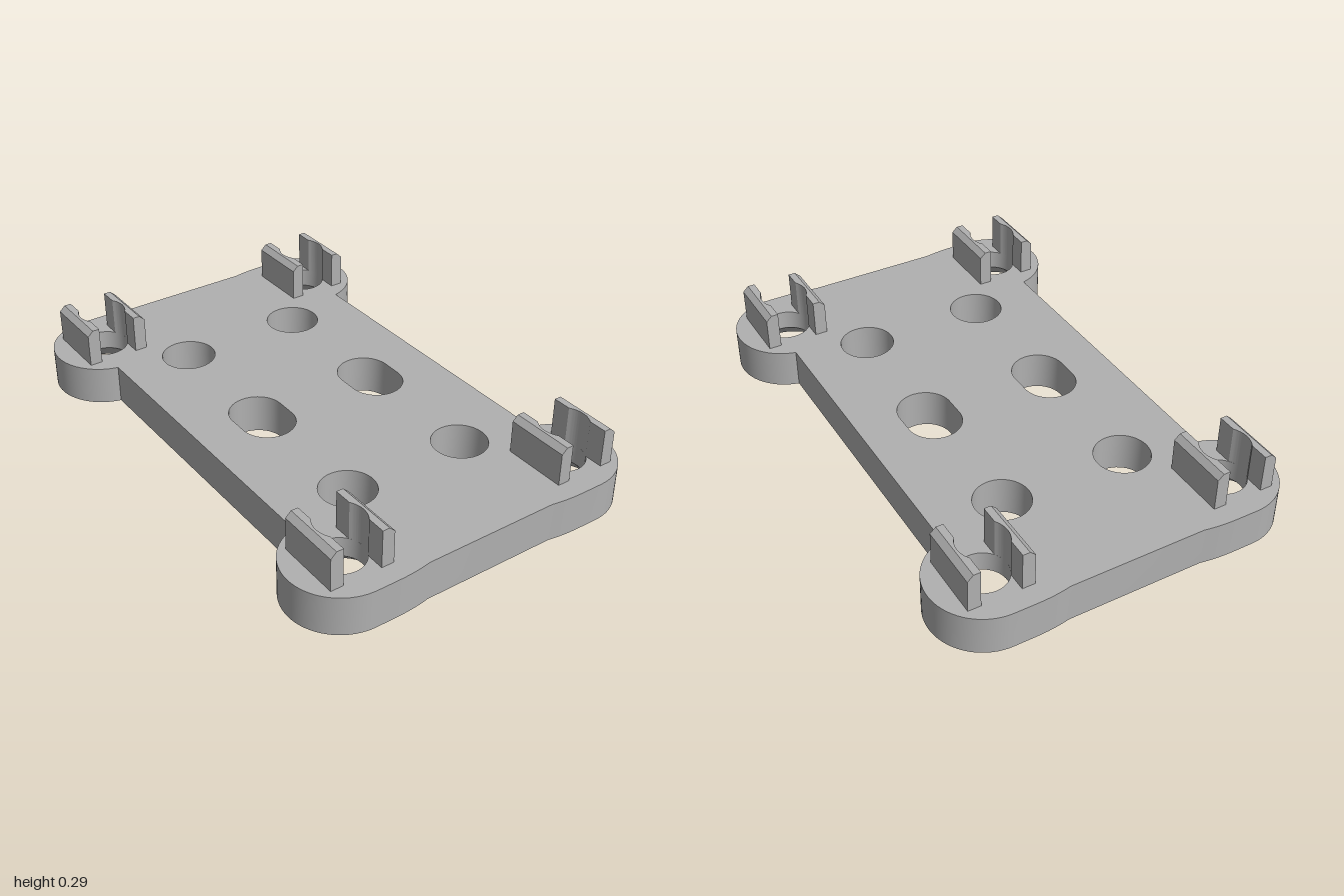
import * as THREE from 'three';
import { mergeGeometries, toCreasedNormals } from 'three/addons/utils/BufferGeometryUtils.js';

const HEIGHT = 0.15, LOBE = { x: 0.4715, z: 0.8, r: 0.2 };
const BORE = 0.09, SINK = 0.17, SINK_TOP = 0.075;
const V = (x, y) => new THREE.Vector2(x, y);

// Clockwise hole loop; stretch > 0 makes a slot
function holeLoop(cx, cz, r, stretch = 0, n = 48) {
  const pts = [];
  for (let i = 0; i < n; i++) {
    const a = -((i + 0.5) / n) * Math.PI * 2;
    pts.push(V(cx + r * Math.cos(a), cz + r * Math.sin(a) + Math.sign(Math.sin(a)) * stretch));
  }
  return pts;
}

// Outline: one quadrant with a round lobe, mirrored to the other three
function outlineLoop() {
  const q = [], start = -Math.acos((0.515 - LOBE.x) / LOBE.r);
  for (let i = 0; i <= 32; i++) {
    const a = start + (Math.PI / 2 - start) * i / 32;
    q.push(V(LOBE.x + LOBE.r * Math.cos(a), LOBE.z + LOBE.r * Math.sin(a)));
  }
  q.push(...new THREE.QuadraticBezierCurve(V(0.39, 1), V(0.32, 1), V(0.26, 0.988)).getPoints(6));
  const flip = (sx, sz) => q.map(p => V(p.x * sx, p.y * sz));
  return [...q, ...flip(-1, 1).reverse(), ...flip(-1, -1), ...flip(1, -1).reverse()];
}

// Wall joining a lower loop to an upper loop
function wall(low, yLow, high, yHigh) {
  const pos = [];
  low.forEach((p, i) => {
    const j = (i + 1) % low.length;
    const a = [p.x, yLow, -p.y], b = [low[j].x, yLow, -low[j].y];
    const c = [high[j].x, yHigh, -high[j].y], d = [high[i].x, yHigh, -high[i].y];
    pos.push(...a, ...b, ...c, ...a, ...c, ...d);
  });
  const g = new THREE.BufferGeometry();
  g.setAttribute('position', new THREE.Float32BufferAttribute(pos, 3));
  return g;
}

function flatFace(outline, holes, y, up) {
  const shape = new THREE.Shape(outline);
  shape.holes = holes.map(h => new THREE.Path(h));
  return new THREE.ShapeGeometry(shape).rotateX(up ? -Math.PI / 2 : Math.PI / 2).translate(0, y, 0);
}

function merge(parts, crease) {
  const bare = parts.map(g => {
    const n = g.index ? g.toNonIndexed() : g;
    n.deleteAttribute('uv');
    n.deleteAttribute('normal');
    return n;
  });
  const all = mergeGeometries(bare);
  all.computeVertexNormals();
  return toCreasedNormals(all, crease);
}

function plateGeometry() {
  const outline = outlineLoop(), through = [], bores = [], sinks = [];
  for (const sx of [-1, 1]) {
    for (const z of [-0.53, 0.53]) through.push(holeLoop(sx * 0.244, z, 0.103));
    through.push(holeLoop(sx * 0.244, 0, 0.103, 0.037));
    for (const sz of [-1, 1]) {
      bores.push(holeLoop(sx * LOBE.x, sz * LOBE.z, BORE));
      sinks.push(holeLoop(sx * LOBE.x, sz * LOBE.z, SINK));
    }
  }
  return merge([
    flatFace(outline, [...through, ...bores], HEIGHT, true),
    flatFace(outline, [...through, ...sinks], 0, false),
    wall(outline, 0, outline, HEIGHT),
    ...through.map(h => wall(h, 0, h, HEIGHT)),
    ...bores.map((h, i) => wall(sinks[i], 0, h, SINK_TOP)),
    ...bores.map(h => wall(h, SINK_TOP, h, HEIGHT)),
  ], 0.5);
}

// Clip jaw on the +x side of a bore: inner half hollowed by the bore, outer half chamfered
function jawGeometry() {
  const inner = 0.0735, mid = 0.1, outer = 0.1215, half = 0.1225, h = 0.145;
  const bite = Math.acos(inner / BORE);
  const plan = new THREE.Shape();
  plan.moveTo(inner, -half);
  plan.lineTo(mid, -half);
  plan.lineTo(mid, half);
  plan.lineTo(inner, half);
  plan.lineTo(inner, BORE * Math.sin(bite));
  plan.absarc(0, 0, BORE, bite, -bite, true);
  plan.closePath();
  const hollow = new THREE.ExtrudeGeometry(plan, { depth: h, bevelEnabled: false, curveSegments: 12 });
  hollow.rotateX(-Math.PI / 2);
  const side = new THREE.Shape([V(mid, 0), V(outer, 0), V(outer, h - 0.02), V(mid, h)]);
  const chamfered = new THREE.ExtrudeGeometry(side, { depth: half * 2, bevelEnabled: false });
  chamfered.translate(0, 0, -half);
  return merge([hollow, chamfered], 0.4);
}

export function createModel() {
  const model = new THREE.Group();
  model.name = 'mountingPlate';
  const grey = new THREE.MeshStandardMaterial({ color: 0xb0b0b0 });
  grey.name = 'grey';

  const plate = new THREE.Mesh(plateGeometry(), grey);
  plate.name = 'plate';
  model.add(plate);

  // A pair of facing jaws over each corner bore
  const jaw = jawGeometry();
  for (const sx of [-1, 1]) for (const sz of [-1, 1]) {
    const clip = new THREE.Group();
    clip.name = (sz > 0 ? 'front' : 'back') + (sx > 0 ? 'Left' : 'Right') + 'Clip';
    clip.position.set(sx * LOBE.x, HEIGHT, sz * LOBE.z);
    for (const turn of [0, Math.PI]) {
      const mesh = new THREE.Mesh(jaw, grey);
      mesh.name = 'clipJaw';
      mesh.rotation.y = turn;
      clip.add(mesh);
    }
    model.add(clip);
  }
  return model;
}
